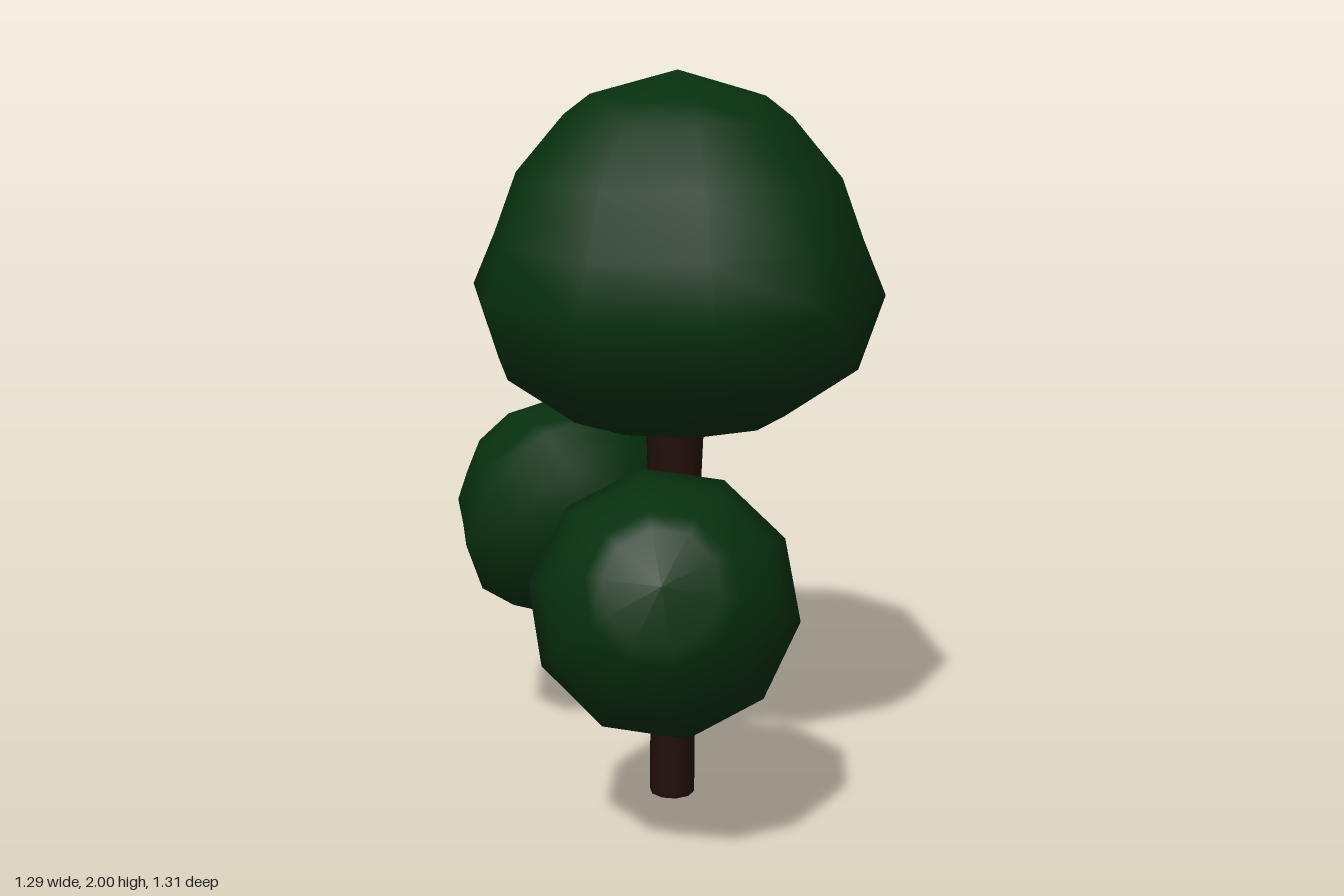
import * as THREE from 'three';

const leaf = new THREE.MeshStandardMaterial({ color: 0x07300f });
const bark = new THREE.MeshStandardMaterial({ color: 0x210e09 });
const points = (list) => list.map(([x, y]) => new THREE.Vector2(x, y));

// Ten-sided leaf dome with a shallow underside; origin at its widest ring
function foliage(name, baseCentre) {
  const group = new THREE.Group();
  group.name = name;
  const dome = [[0.295, -0.333], [0.485, -0.2], [0.55, 0], [0.49, 0.14], [0.43, 0.3], [0.3, 0.453], [0.23, 0.506], [0, 0.57]];
  const crown = new THREE.Mesh(new THREE.LatheGeometry(points(dome), 10), leaf);
  crown.name = 'leafDome';
  const base = new THREE.Mesh(new THREE.LatheGeometry(points([[0, baseCentre], [0.295, -0.333]]), 10), leaf);
  base.name = 'leafUnderside';
  group.add(crown, base);
  return group;
}

export function createModel() {
  const model = new THREE.Group();
  model.name = 'tree';

  // Trunk, straight below and flaring under the crown
  const addTrunk = (name, topRadius, height, y) => {
    const mesh = new THREE.Mesh(new THREE.CylinderGeometry(topRadius, 0.063, height, 10), bark);
    mesh.name = name;
    mesh.position.set(0.12, y + height / 2, -0.12);
    model.add(mesh);
  };
  addTrunk('trunk', 0.063, 0.65, 0);
  addTrunk('trunkFlare', 0.081, 0.47, 0.65);

  // Main crown
  const crown = foliage('mainCrown', -0.372);
  crown.position.set(0.12, 1.43, -0.12);
  model.add(crown);

  // Two bent branches with tilted leaf clusters, mirrored across the diagonal
  for (const side of ['back', 'front']) {
    const place = (x, y, z) => side === 'back' ? new THREE.Vector3(x, y, z) : new THREE.Vector3(-z, y, -x);

    const path = new THREE.CatmullRomCurve3(
      [place(0.12, 0.608, -0.12), place(-0.11, 0.608, -0.205), place(-0.22, 0.68, -0.24)], false, 'catmullrom', 0.1);
    const branchGeometry = new THREE.TubeGeometry(path, 6, 0.05, 6).toNonIndexed();
    branchGeometry.computeVertexNormals();
    const branch = new THREE.Mesh(branchGeometry, bark);
    branch.name = side + 'Branch';
    model.add(branch);

    // Hollowed where the branch enters
    const cluster = foliage(side + 'LeafCluster', -0.22);
    cluster.position.copy(place(-0.315, 0.72, -0.307));
    cluster.scale.set(0.625, 0.6, 0.625);
    cluster.quaternion.setFromUnitVectors(new THREE.Vector3(0, 1, 0), place(-0.82, 0.42, -0.39).normalize());
    model.add(cluster);
  }
  return model;
}
